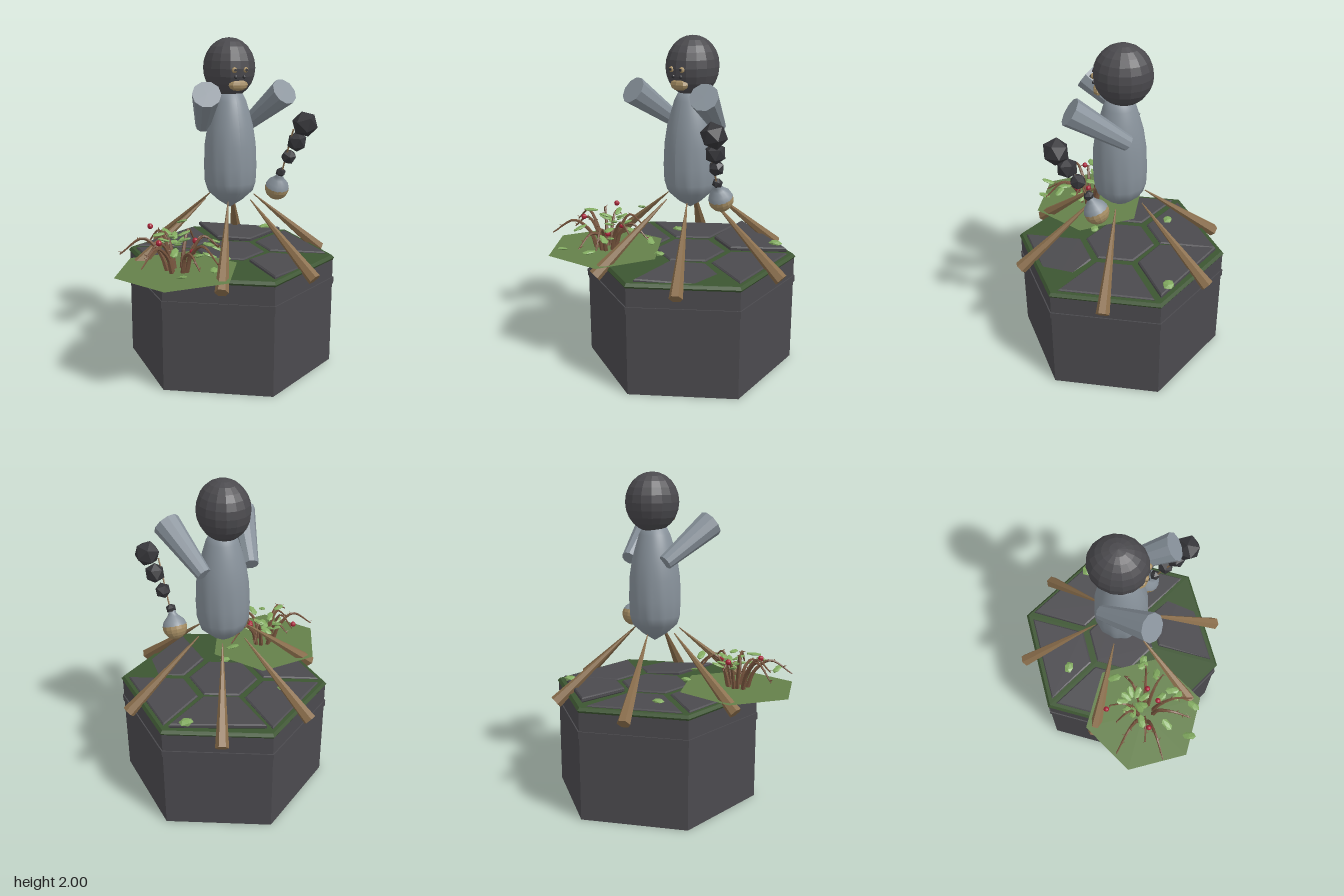
import * as THREE from 'three';

const V = (x, y, z) => new THREE.Vector3(x, y, z);
const UP = V(0, 1, 0);
const mat = (name, color, extra = {}) => {
  const m = new THREE.MeshStandardMaterial({ color, flatShading: true, ...extra });
  m.name = name;
  return m;
};

export function createModel() {
  const M = {
    stone: mat('stone', 0x4b4a4e),
    moss: mat('moss', 0x3c5531),
    cloth: mat('pale cloth', 0x87919a, { flatShading: false, side: THREE.DoubleSide }),
    wood: mat('wood', 0x8a6e4c),
    twig: mat('twig', 0x76543d),
    leaf: mat('leaf', 0x82ab60),
    grass: mat('grass', 0x64804a, { side: THREE.DoubleSide }),
    berry: mat('berry', 0xa82338),
    dark: mat('charcoal', 0x353539),
    tan: mat('tan', 0xa58d63),
  };
  const sleeveMat = M.cloth;
  const root = new THREE.Group();
  const add = (name, geo, m, pos = [0, 0, 0], parent = root) => {
    const mesh = new THREE.Mesh(geo, m);
    mesh.name = name;
    mesh.position.set(...pos);
    parent.add(mesh);
    return mesh;
  };
  // Tapered rod between two points
  const rod = (name, a, b, ra, rb, sides, m, parent) => {
    const d = b.clone().sub(a);
    const geo = new THREE.CylinderGeometry(rb, ra, d.length(), sides).toNonIndexed();
    geo.computeVertexNormals();
    const mesh = add(name, geo, m, a.clone().lerp(b, 0.5).toArray(), parent);
    mesh.quaternion.setFromUnitVectors(UP, d.normalize());
    return mesh;
  };

  // Everything on the plinth shares its off-centre axis
  const main = new THREE.Group();
  main.name = 'plinthAndFigure';
  main.position.x = 0.073;
  root.add(main);

  // Hexagonal plinth
  const hex = (name, r0, r1, y0, y1, m) =>
    add(name, new THREE.CylinderGeometry(r1, r0, y1 - y0, 6), m, [0, (y0 + y1) / 2, 0], main);
  hex('plinth', 0.64, 0.64, 0, 0.665, M.stone);
  hex('plinthBand', 0.648, 0.648, 0.508, 0.55, M.stone);
  hex('mossLower', 0.638, 0.648, 0.66, 0.675, M.moss);
  hex('mossUpper', 0.648, 0.632, 0.675, 0.692, M.moss);

  // Bevelled paving slabs; one is missing, one raised, one sunken
  const slabGeo = (pts) => {
    const geo = new THREE.ExtrudeGeometry(new THREE.Shape(pts.map(p => new THREE.Vector2(...p))), {
      depth: 0.016, bevelThickness: 0.007, bevelSize: 0.009, bevelOffset: -0.009, bevelSegments: 1,
    });
    return geo.rotateX(-Math.PI / 2);
  };
  const corner = (r, s) => [r * 0.866 + 0.01 - 0.4, s * (r * 0.5 - 0.0173)];
  const trapezoid = slabGeo([corner(0.25, -1), corner(0.595, -1), corner(0.595, 1), corner(0.25, 1)]);
  const poses = { 1: [0.7, 0.03, 0.03], 5: [0.677, -0.05, -0.04] };
  for (const k of [0, 1, 2, 3, 5]) {
    const [y, tiltX, tiltZ] = poses[k] || [0.679, 0, 0];
    const sector = new THREE.Group();
    sector.name = 'slabSector';
    sector.rotation.y = k * Math.PI / 3;
    main.add(sector);
    const slab = add('slab', trapezoid, M.stone, [0.4, y, 0], sector);
    slab.rotation.set(tiltX, 0, tiltZ);
  }
  const hexPts = Array.from({ length: 6 }, (_, i) => {
    const a = Math.PI / 6 + i * Math.PI / 3;
    return [0.215 * Math.cos(a), 0.215 * Math.sin(a)];
  });
  add('centreSlab', slabGeo(hexPts), M.stone, [0, 0.679, 0], main);

  // Six splayed wooden legs
  for (let k = 0; k < 6; k++) {
    const a = k * Math.PI / 3 + [0, 0.05, -0.05][k % 3];
    const c = Math.cos(a), s = Math.sin(a);
    rod('leg', V(0.16 * c, 1.045, 0.16 * s), V(0.635 * c, 0.645, 0.635 * s), 0.003, 0.04, 6, M.wood, main);
  }

  // Robe with pleats that deepen toward the hem
  const profile = [[0, 0.977], [0.075, 1.025], [0.14, 1.085], [0.157, 1.14], [0.161, 1.24], [0.155, 1.37],
    [0.138, 1.48], [0.116, 1.56], [0.095, 1.63], [0.07, 1.68], [0, 1.70]];
  const robe = new THREE.LatheGeometry(profile.map(p => new THREE.Vector2(...p)), 48);
  const rp = robe.attributes.position;
  for (let i = 0; i < rp.count; i++) {
    const x = rp.getX(i), z = rp.getZ(i);
    const fade = THREE.MathUtils.clamp((1.42 - rp.getY(i)) / 0.35, 0, 1);
    const f = 1 - 0.05 * fade * (1 - Math.cos(12 * Math.atan2(x, z))) / 2;
    rp.setX(i, x * f);
    rp.setZ(i, z * f);
  }
  robe.computeVertexNormals();
  add('robe', robe, M.cloth, [0, 0, 0], main);

  // Raised sleeves
  for (const s of [-1, 1])
    rod('sleeve', V(s * 0.15, 1.48, -0.07), V(s * 0.243, 1.695, 0.232), 0.045, 0.083, 10, sleeveMat, main);

  // Head and face
  const head = add('head', new THREE.SphereGeometry(1, 16, 12), M.stone, [0, 1.823, -0.02], main);
  head.scale.set(0.153, 0.177, 0.17);
  for (const s of [-1, 1]) {
    add('eye', new THREE.SphereGeometry(0.017, 8, 6), M.tan, [s * 0.035, 1.818, 0.14], main);
    add('pupil', new THREE.CylinderGeometry(0.008, 0.008, 0.006, 8).rotateX(Math.PI / 2), M.dark,
      [s * 0.035, 1.818, 0.156], main);
    add('nostril', new THREE.SphereGeometry(0.011, 6, 5), M.dark, [s * 0.026, 1.778, 0.14], main);
  }
  const snout = add('snout', new THREE.SphereGeometry(1, 8, 6), M.tan, [0, 1.73, 0.117], main);
  snout.scale.set(0.062, 0.034, 0.032);
  add('snoutBridge', new THREE.CylinderGeometry(0.024, 0.045, 0.04, 6), M.tan, [0, 1.752, 0.105], main);

  // Tilted round flask, half full
  const flask = new THREE.Group();
  flask.name = 'flask';
  flask.position.set(0.348, 1.093, 0.092);
  flask.rotation.x = 0.38;
  root.add(flask);
  add('liquid', new THREE.SphereGeometry(0.074, 14, 6, 0, Math.PI * 2, Math.PI * 0.44, Math.PI * 0.56), M.tan, [0, 0, 0], flask);
  const glass = [[0.073, 0.012], [0.062, 0.04], [0.036, 0.066], [0.023, 0.085], [0.02, 0.115], [0, 0.115]];
  add('glass', new THREE.LatheGeometry(glass.map(p => new THREE.Vector2(...p)), 14), M.cloth, [0, 0, 0], flask);
  rod('flaskStick', V(0.35, 1.14, 0.12), V(0.362, 1.475, 0.265), 0.005, 0.005, 5, M.wood, root);

  // Growing smoke puffs above the flask
  [[0.35, 1.197, 0.135, 0.032], [0.375, 1.3, 0.188, 0.048], [0.4, 1.397, 0.24, 0.062], [0.422, 1.507, 0.293, 0.078]]
    .forEach(([x, y, z, r], i) => {
      add('smokePuff', new THREE.IcosahedronGeometry(r, 0), M.dark, [x, y, z]).rotation.set(i * 0.7, i * 1.1, 0.3);
    });

  // Thin grassy patch under the bush
  add('grassPatch', new THREE.CircleGeometry(0.373, 6).rotateX(-Math.PI / 2), M.grass, [-0.369, 0.704, 0.27]);

  // Arching thorny stems: [tip x, y, z, arch height]
  const stems = [[-0.68, 0.81, 0.18, 0.92], [-0.64, 0.80, 0.46, 0.9], [-0.22, 0.79, 0.54, 0.9], [-0.42, 0.86, 0.06, 0.92],
    [-0.09, 0.79, 0.21, 0.9], [-0.13, 0.83, 0.33, 0.92], [-0.5, 0.84, 0.13, 0.95], [-0.34, 0.78, 0.56, 0.86],
    [-0.2, 0.82, 0.1, 0.93], [-0.57, 0.82, 0.33, 0.91]];
  const rings = 14, sides = 5;
  const thorn = new THREE.ConeGeometry(0.005, 0.028, 4);
  const leaf = new THREE.IcosahedronGeometry(1, 0);
  const addLeaf = (x, y, z, yaw, pitch, len = 0.05) => {
    const l = add('leaf', leaf, M.leaf, [x, y, z]);
    l.rotation.set(pitch, yaw, 0, 'YXZ');
    l.scale.set(len * 0.48, 0.009, len);
  };
  stems.forEach(([x, y, z, h], i) => {
    const tip = V(x, y, z);
    const base = V(-0.36, 0.7, 0.27).lerp(V(x, 0.7, z), 0.2);
    const mid = base.clone().lerp(tip, 0.5).setY(h - 0.02);
    const curve = new THREE.CatmullRomCurve3([base, base.clone().lerp(mid, 0.3).setY(0.81), mid, tip]);
    const tube = new THREE.TubeGeometry(curve, rings, 0.015, sides);
    const p = tube.attributes.position;
    for (let v = 0; v < p.count; v++) {
      const t = Math.floor(v / (sides + 1)) / rings;
      const q = V(0, 0, 0).fromBufferAttribute(p, v).lerp(curve.getPointAt(t), t * 0.75);
      p.setXYZ(v, q.x, q.y, q.z);
    }
    add('stem', tube, M.twig);
    for (let j = 0; j < 5; j++) {
      const a = i * 2.1 + j * 2.4;
      const dir = V(Math.cos(a), 0.4, Math.sin(a)).normalize();
      const at = curve.getPointAt(0.4 + j * 0.14).addScaledVector(dir, 0.014);
      add('thorn', thorn, M.twig, at.toArray()).quaternion.setFromUnitVectors(UP, dir);
    }
  });

  // Central rosette and scattered leaves
  for (let i = 0; i < 9; i++) {
    const a = i * 0.7, r = 0.055 + 0.015 * (i % 2);
    addLeaf(-0.36 + r * Math.sin(a), 0.85 + 0.025 * (i % 3), 0.2 + r * Math.cos(a), a, -0.35, 0.046);
  }
  [[-0.26, 0.93, 0.05, 0.4], [-0.23, 0.88, 0.41, 0.3], [-0.24, 0.83, 0.45, 1.2], [-0.45, 0.77, 0.58, 0.1],
    [-0.26, 0.78, 0.56, -0.4], [-0.09, 0.78, 0.19, 1], [-0.27, 0.8, 0.35, 0.8], [-0.48, 0.93, 0.28, 2],
    [-0.15, 0.86, 0.29, 1.7], [-0.44, 0.86, 0.43, 2.6]]
    .forEach(([x, y, z, yaw], i) => addLeaf(x, y, z, yaw, (i % 3 - 1) * 0.35));

  // Berries
  for (const p of [[-0.46, 0.92, 0.055], [-0.496, 0.895, 0.33], [-0.255, 0.865, 0.26], [-0.3, 0.825, 0.34]])
    add('berry', new THREE.SphereGeometry(0.017, 10, 8), M.berry, p);

  // Low tufts on the slabs
  for (const [x, y, z, r] of [[-0.205, 0.704, -0.27, 0.04], [0.482, 0.722, -0.345, 0.046], [-0.03, 0.704, 0.18, 0.035]])
    add('tuft', new THREE.IcosahedronGeometry(r, 0).scale(1, 0.4, 0.8), M.leaf, [x, y, z]);

  return root;
}
